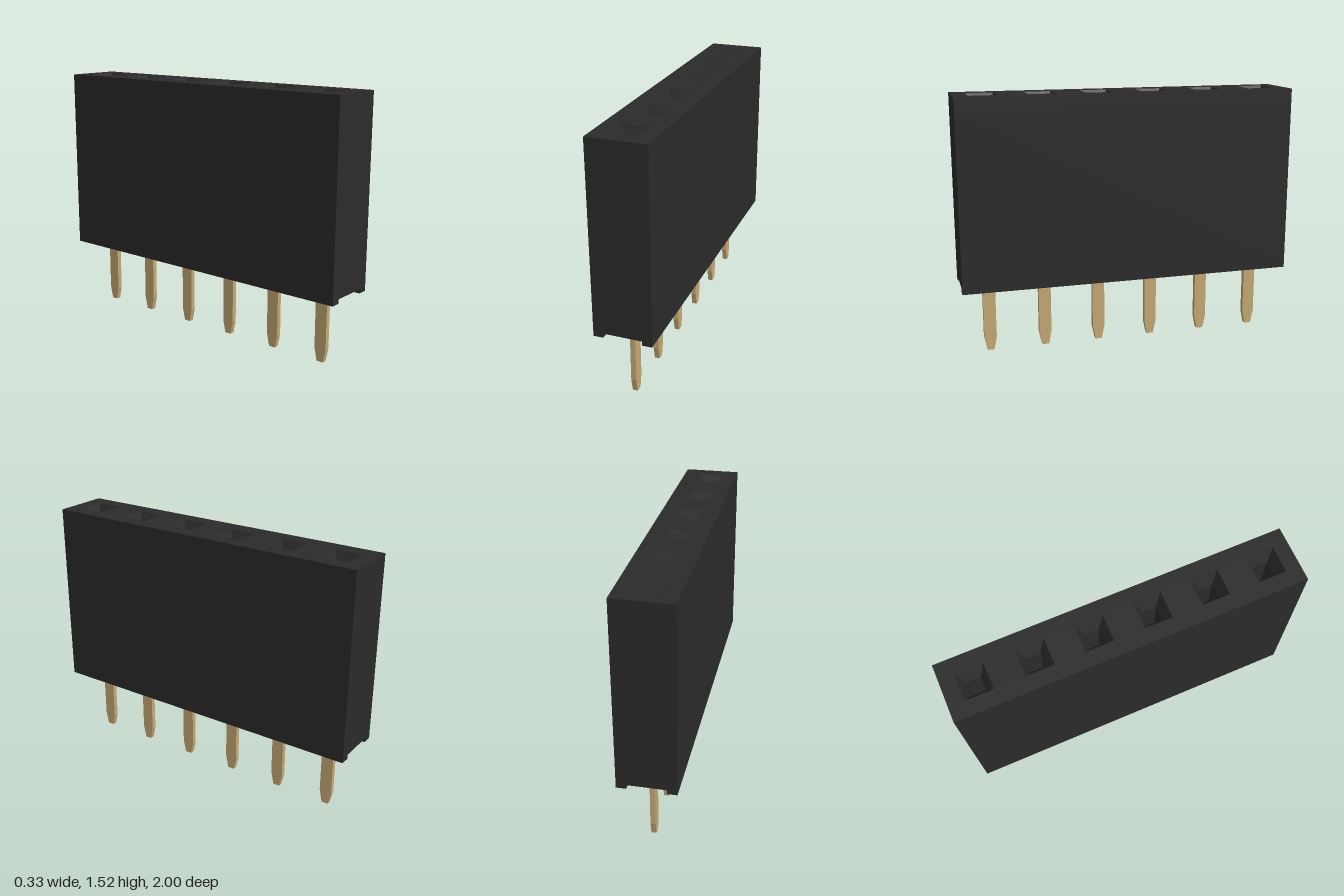
import * as THREE from 'three';

const PINS = 6, PITCH = 1 / 3;
const HALF_W = 0.167, TOP = 1.525, FLOOR = 0.435, BASE = 0.41;
const MOUTH = 0.08, BORE = 0.04, FUNNEL = 0.08; // socket half widths and funnel depth
const centres = Array.from({ length: PINS }, (_, i) => (i - (PINS - 1) / 2) * PITCH);

function rectangle(Type, cx, cy, hx, hy) {
  return new Type([
    new THREE.Vector2(cx - hx, cy - hy), new THREE.Vector2(cx + hx, cy - hy),
    new THREE.Vector2(cx + hx, cy + hy), new THREE.Vector2(cx - hx, cy + hy),
  ]);
}

// Block with a row of square bores that flare into funnels at the top
function housingGeometry() {
  const shape = rectangle(THREE.Shape, 0, 0, HALF_W, 1);
  for (const c of centres) shape.holes.push(rectangle(THREE.Path, 0, c, MOUTH, MOUTH));
  const geo = new THREE.ExtrudeGeometry(shape, { depth: 2, steps: 2, bevelEnabled: false });
  const levels = [FLOOR, TOP - FUNNEL, TOP];
  const p = geo.attributes.position;
  for (let i = 0; i < p.count; i++) {
    let x = p.getX(i), y = p.getY(i);
    const level = Math.round(p.getZ(i));
    // below the mouth, pull the hole corners in to the bore width
    if (level < 2 && Math.abs(x) < HALF_W - 0.01) {
      const c = centres.find((v) => Math.abs(v - y) < MOUTH + 0.01);
      x *= BORE / MOUTH;
      y = c + (y - c) * BORE / MOUTH;
    }
    p.setXYZ(i, x, y, levels[level]);
  }
  geo.rotateX(-Math.PI / 2);
  geo.computeVertexNormals();
  return geo;
}

// Flat blade with a tapered tip, reaching up into the bore
function pinGeometry() {
  const w = 0.037, tip = 0.02, thick = 0.03, top = 0.75;
  const shape = new THREE.Shape([
    [-tip, 0], [tip, 0], [w, 0.08], [w, top], [-w, top], [-w, 0.08],
  ].map(([x, y]) => new THREE.Vector2(x, y)));
  const geo = new THREE.ExtrudeGeometry(shape, { depth: thick, bevelEnabled: false });
  return geo.translate(0, 0, -thick / 2).rotateY(Math.PI / 2);
}

export function createModel() {
  const model = new THREE.Group();
  model.name = 'pinSocketHeader';
  const plastic = new THREE.MeshStandardMaterial({ color: 0x2b2b2b });
  const metal = new THREE.MeshStandardMaterial({ color: 0xc6aa74 });

  const add = (name, geo, material, x = 0, y = 0, z = 0) => {
    const mesh = new THREE.Mesh(geo, material);
    mesh.name = name;
    mesh.position.set(x, y, z);
    model.add(mesh);
  };

  add('housing', housingGeometry(), plastic);

  // Standoff rails along both lower edges
  const railW = HALF_W - 0.11, railH = FLOOR - BASE;
  const rail = new THREE.BoxGeometry(railW, railH, 2);
  for (const [side, s] of [['left', 1], ['right', -1]])
    add(side + 'Rail', rail, plastic, s * (HALF_W - railW / 2), BASE + railH / 2);

  // Row of contact pins
  const pin = pinGeometry();
  centres.forEach((z, i) => add('pin' + (i + 1), pin, metal, 0, 0, z));
  return model;
}
